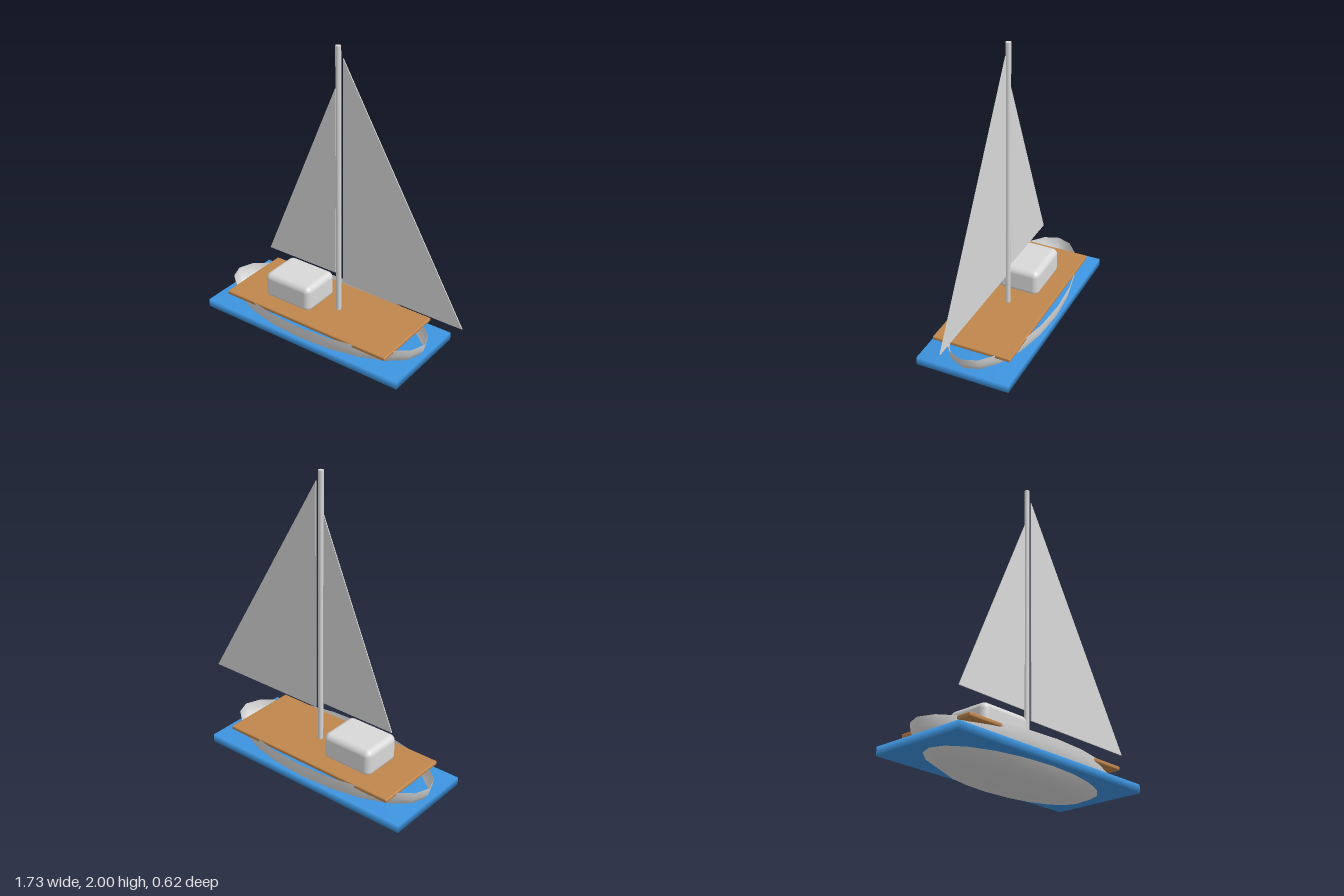
import * as THREE from 'three';
import { mergeVertices } from 'three/addons/utils/BufferGeometryUtils.js';
import { RoundedBoxGeometry } from 'three/addons/geometries/RoundedBoxGeometry.js';

const HULL_X = -0.125;

function material(name, color) {
  const m = new THREE.MeshStandardMaterial({ color });
  m.name = name;
  return m;
}

// Box whose corners share one normal, for soft shading
function softBox(w, h, d) {
  const g = new THREE.BoxGeometry(w, h, d);
  g.deleteAttribute('normal');
  g.deleteAttribute('uv');
  const merged = mergeVertices(g);
  merged.computeVertexNormals();
  return merged;
}

// Thin triangular sail standing in the x-y plane
function sailGeometry(luffX, topY, clewX, footY) {
  const depth = 0.006;
  const shape = new THREE.Shape([
    new THREE.Vector2(luffX, footY),
    new THREE.Vector2(clewX, footY),
    new THREE.Vector2(luffX, topY),
  ]);
  return new THREE.ExtrudeGeometry(shape, { depth, bevelEnabled: false }).translate(0, 0, -depth / 2);
}

export function createModel() {
  const boat = new THREE.Group();
  boat.name = 'sailboat';
  const white = material('white', 0xd8d8d8);
  const hullWhite = material('hull white', 0xd8d8d8);
  hullWhite.side = THREE.DoubleSide;
  const blue = material('blue', 0x3d94e0);
  const wood = material('wood', 0xc0864c);

  function add(name, geometry, mat, x = 0, y = 0, z = 0) {
    const mesh = new THREE.Mesh(geometry, mat);
    mesh.name = name;
    mesh.position.set(x, y, z);
    boat.add(mesh);
    return mesh;
  }

  // Open bowl-shaped hull, stretched to an oval
  const profile = [
    [0, 0], [0.25, 0.008], [0.5, 0.024], [0.71, 0.046], [0.88, 0.098],
    [0.955, 0.15], [0.99, 0.195], [1, 0.24],
  ].map(([r, y]) => new THREE.Vector2(r, y));
  const hull = add('hull', new THREE.LatheGeometry(profile, 20), hullWhite, HULL_X);
  hull.scale.set(0.74, 1, 0.308);

  // Blue waterline slab around the hull
  add('waterlineBand', softBox(1.48, 0.052, 0.616), blue, HULL_X, 0.123);

  // Deck and cabin
  add('deck', new RoundedBoxGeometry(1.235, 0.025, 0.52, 2, 0.008), wood, -0.1225, 0.2285);
  add('cabin', new RoundedBoxGeometry(0.355, 0.18, 0.284, 4, 0.04), white, -0.3425, 0.31);

  // Mast and sails
  add('mast', new THREE.CylinderGeometry(0.017, 0.017, 1.77, 8), white, -0.031, 1.115);
  add('mainSail', sailGeometry(0.005, 1.93, 0.86, 0.455), white);
  add('jibSail', sailGeometry(-0.052, 1.74, -0.578, 0.505), white);

  return boat;
}
